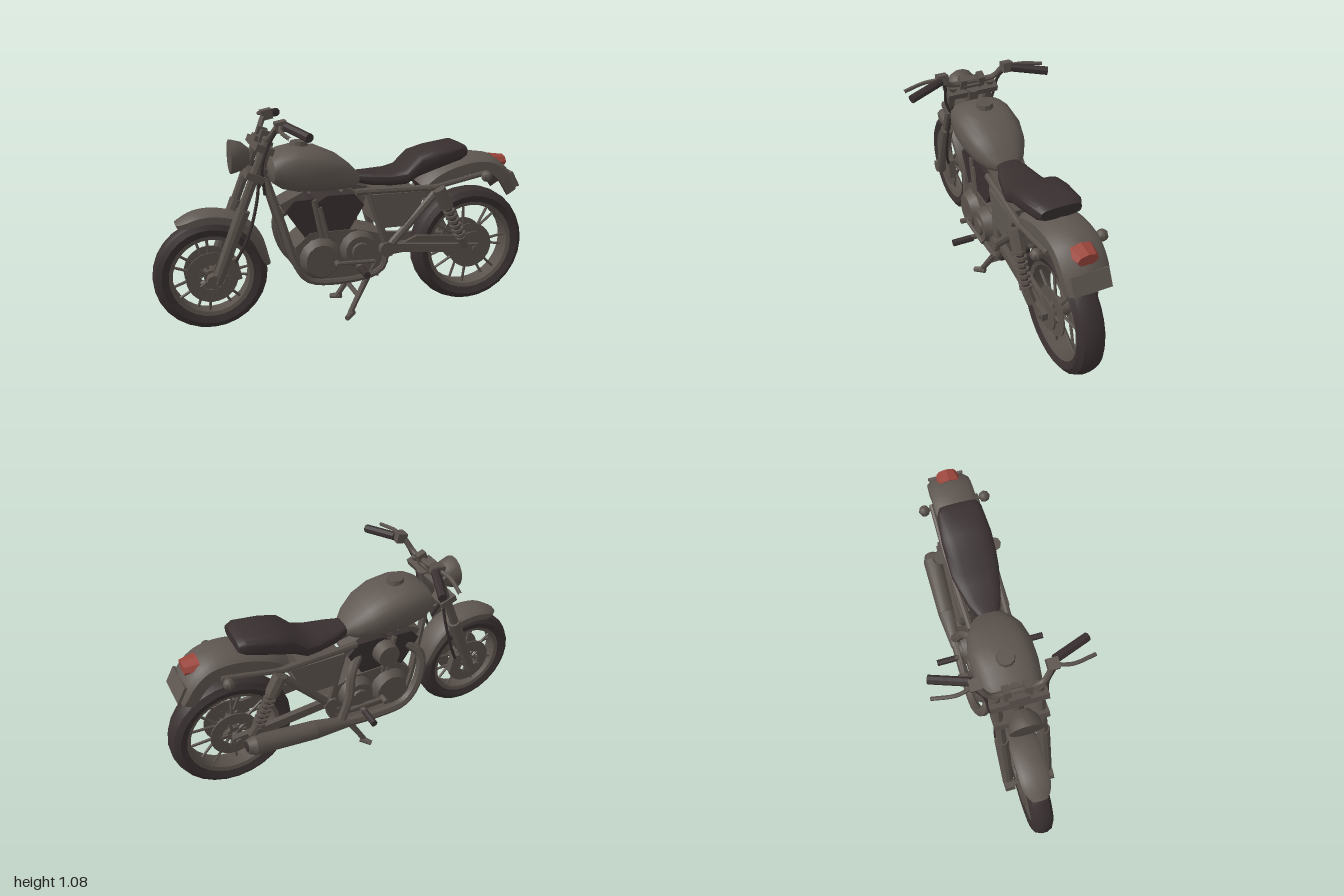
import * as THREE from 'three';
import { toCreasedNormals } from 'three/addons/utils/BufferGeometryUtils.js';

const V = (p) => new THREE.Vector3(...p);
const mat = (name, color, side = THREE.FrontSide) => {
  const m = new THREE.MeshStandardMaterial({ color, side });
  m.name = name;
  return m;
};

export function createModel() {
  const bike = new THREE.Group();
  bike.name = 'motorcycle';
  const paint = mat('grey paint', 0x5e5650, THREE.DoubleSide);
  const metal = mat('grey metal', 0x59514b);
  const dark = mat('dark rubber', 0x393030, THREE.DoubleSide);
  const red = mat('red lens', 0x9a453b);

  // Helpers
  const add = (name, geo, m, parent = bike) => {
    const mesh = new THREE.Mesh(toCreasedNormals(geo, 0.6), m);
    mesh.name = name;
    parent.add(mesh);
    return mesh;
  };
  const box = (name, m, size, pos, rz = 0) => {
    const b = add(name, new THREE.BoxGeometry(...size), m);
    b.position.set(...pos);
    b.rotation.z = rz;
    return b;
  };
  const rod = (name, m, a, b, r1, r2 = r1, sides = 8, parent = bike) => {
    const d = V(b).sub(V(a));
    const c = add(name, new THREE.CylinderGeometry(r2, r1, d.length(), sides), m, parent);
    c.position.copy(V(a)).addScaledVector(d, 0.5);
    c.quaternion.setFromUnitVectors(new THREE.Vector3(0, 1, 0), d.normalize());
    return c;
  };
  const tube = (name, m, pts, r, n = 16) =>
    add(name, new THREE.TubeGeometry(new THREE.CatmullRomCurve3(pts.map(V), false, 'centripetal'), n, r, 7), m);
  const plate = (name, m, pts, depth, z = 0) => {
    const shape = new THREE.Shape(pts.map((p) => new THREE.Vector2(...p)));
    const geo = new THREE.ExtrudeGeometry(shape, { depth, bevelEnabled: false });
    return add(name, geo.translate(0, 0, z - depth / 2), m);
  };
  const grid = (name, m, rows) => {
    const w = rows[0].length, index = [];
    for (let i = 0; i < rows.length - 1; i++)
      for (let j = 0; j < w - 1; j++) {
        const a = i * w + j, b = a + 1, c = a + w, d = c + 1;
        index.push(a, b, c, b, d, c);
      }
    const geo = new THREE.BufferGeometry();
    geo.setAttribute('position', new THREE.Float32BufferAttribute(rows.flat(2), 3));
    geo.setIndex(index);
    return add(name, geo, m);
  };
  // Body lofted along x from [x, bottom, top, halfWidth]; small power = squarer
  const loft = (name, m, secs, power) => {
    const p = (t) => Math.sign(t) * Math.abs(t) ** power;
    const ring = ([x, lo, hi, w], k) => Array.from({ length: 21 }, (_, j) => {
      const t = (j % 20) / 20 * Math.PI * 2;
      return [x, (lo + hi) / 2 + k * p(Math.cos(t)) * (hi - lo) / 2, k * p(Math.sin(t)) * w];
    });
    return grid(name, m, [ring(secs[0], 0), ...secs.map((s) => ring(s, 1)), ring(secs.at(-1), 0)]);
  };
  // Curved guard swept along a side profile, narrowed at its ends by taper
  const fender = (name, m, pts, w, drop, lift, taper) => {
    const curve = new THREE.CatmullRomCurve3(pts.map(([x, y]) => V([x, y, 0])));
    const section = [[-1, -1], [-1, -0.35], [-0.75, -0.1], [0, 0.05], [0.75, -0.1], [1, -0.35], [1, -1]];
    return grid(name, m, Array.from({ length: 21 }, (_, i) => {
      const q = curve.getPoint(i / 20), t = curve.getTangent(i / 20);
      const k = 1 - taper * (1 - Math.sin(i / 20 * Math.PI)) ** 4;
      return section.map(([z, d]) => {
        const h = d * drop * k + lift;
        return [q.x - t.y * h, q.y + t.x * h, z * w * k];
      });
    }));
  };
  const both = (fn) => [1, -1].forEach(fn);

  // Wheels: tyre, rim, hub, paired spokes and discs
  const wheel = (name, x, y, R, w, disc) => {
    const g = new THREE.Group();
    g.name = name;
    g.position.set(x, y, 0);
    bike.add(g);
    const lathe = (part, m, pts) => {
      const prof = [...pts, pts[0]].map((p) => new THREE.Vector2(...p));
      add(part, new THREE.LatheGeometry(prof, 28).rotateX(Math.PI / 2), m, g);
    };
    const q = R - 0.075;
    lathe('tyre', dark, [[q, -w * 0.8], [R - 0.04, -w], [R - 0.012, -w * 0.72], [R, -w * 0.25],
      [R, w * 0.25], [R - 0.012, w * 0.72], [R - 0.04, w], [q, w * 0.8]]);
    lathe('rim', metal, [[q - 0.02, -w * 0.7], [q + 0.008, -w * 0.84], [q + 0.008, w * 0.84], [q - 0.02, w * 0.7]]);
    rod('hub', metal, [0, 0, -0.06], [0, 0, 0.06], 0.04, 0.04, 14, g);
    rod('axle', metal, [0, 0, -0.13], [0, 0, 0.13], 0.017, 0.017, 8, g);
    for (let i = 0; i < 14; i++) {
      const a = Math.floor(i / 2) / 7 * Math.PI * 2, s = i % 2 ? 1 : -1;
      const at = (r, t, z) => [r * Math.cos(t), r * Math.sin(t), z];
      rod('spoke', metal, at(0.035, a + s * 0.2, s * 0.03), at(q - 0.01, a + s * 0.15, s * 0.012), 0.009, 0.007, 5, g);
    }
    both((s) => {
      const z0 = s * 0.055 - 0.004, z1 = s * 0.055 + 0.004;
      lathe('brake disc', metal, [[0.065, z0], [disc, z0], [disc, z1], [0.065, z1]]);
      for (let i = 0; i < 5; i++) {
        const a = i / 5 * Math.PI * 2;
        rod('disc carrier', metal, [0, 0, s * 0.055],
          [0.075 * Math.cos(a), 0.075 * Math.sin(a), s * 0.055], 0.009, 0.009, 5, g);
      }
    });
  };
  wheel('front wheel', -0.715, 0.29, 0.287, 0.057, 0.13);
  wheel('rear wheel', 0.683, 0.323, 0.32, 0.071, 0.125);

  // Fuel tank, seat and mudguards
  loft('fuel tank', paint, [[-0.415, 0.79, 0.85, 0.1], [-0.4, 0.75, 0.885, 0.135], [-0.35, 0.715, 0.915, 0.152],
    [-0.27, 0.695, 0.93, 0.162], [-0.16, 0.69, 0.915, 0.162], [-0.06, 0.69, 0.87, 0.142],
    [0.01, 0.695, 0.815, 0.105], [0.05, 0.71, 0.77, 0.065]], 0.78);
  rod('fuel cap', metal, [-0.25, 0.91, 0], [-0.25, 0.945, 0], 0.05, 0.042, 10);
  loft('seat', dark, [[0.04, 0.715, 0.77, 0.05], [0.12, 0.7, 0.768, 0.085], [0.22, 0.695, 0.77, 0.108],
    [0.29, 0.7, 0.785, 0.124], [0.36, 0.735, 0.855, 0.128], [0.45, 0.765, 0.878, 0.13],
    [0.59, 0.805, 0.9, 0.117], [0.625, 0.825, 0.885, 0.1]], 0.6);
  const rear = [[0.37, 0.7], [0.45, 0.765], [0.58, 0.815], [0.7, 0.83], [0.8, 0.81], [0.88, 0.745], [0.94, 0.645]];
  fender('rear mudguard', paint, rear, 0.112, 0.09, 0, 0.1);
  fender('rear mudguard lining', dark, rear, 0.106, 0.085, -0.008, 0.1);
  fender('front mudguard', paint, [[-0.88, 0.575], [-0.79, 0.617], [-0.69, 0.625], [-0.56, 0.59],
    [-0.46, 0.485], [-0.41, 0.325]], 0.075, 0.055, 0, 0.5);
  box('number plate', paint, [0.014, 0.09, 0.185], [0.915, 0.685, 0], 0.5);
  const lamp = add('tail light', new THREE.CylinderGeometry(0.052, 0.07, 0.075, 8).rotateZ(-Math.PI / 2), red);
  lamp.scale.set(1, 0.58, 1);
  lamp.position.set(0.84, 0.777, 0);
  box('tail light base', metal, [0.05, 0.06, 0.09], [0.8, 0.772, 0]);

  // Headlight, steering clamps and instruments
  add('headlight shell', new THREE.LatheGeometry([[0, -0.1], [0.04, -0.095], [0.07, -0.06], [0.084, -0.01], [0.084, 0], [0, 0.004]]
    .map((p) => new THREE.Vector2(...p)), 14).rotateZ(Math.PI / 2), metal).position.set(-0.598, 0.885, 0);
  box('lower fork clamp', metal, [0.09, 0.035, 0.27], [-0.495, 0.8, 0], -0.38);
  box('upper fork clamp', metal, [0.09, 0.035, 0.28], [-0.445, 0.935, 0], -0.38);
  rod('steering head', metal, [-0.47, 0.74, 0], [-0.41, 0.95, 0], 0.035);
  box('instrument mount', metal, [0.07, 0.03, 0.1], [-0.445, 0.965, 0], -0.35);
  tube('handlebar', metal, [[-0.36, 1.055, -0.2], [-0.385, 1.055, -0.175], [-0.425, 0.985, -0.12],
    [-0.43, 0.98, 0], [-0.425, 0.985, 0.12], [-0.385, 1.055, 0.175], [-0.36, 1.055, 0.2]], 0.015, 30);

  both((s) => {
    // Front fork and controls
    const z = (v) => s * v;
    rod('fork tube', metal, [-0.6, 0.54, z(0.105)], [-0.43, 0.97, z(0.105)], 0.024);
    rod('fork slider', metal, [-0.7, 0.275, z(0.105)], [-0.555, 0.64, z(0.105)], 0.028, 0.035, 10);
    rod('axle clamp', metal, [-0.715, 0.29, z(0.08)], [-0.715, 0.29, z(0.13)], 0.035);
    box('front brake caliper', metal, [0.06, 0.11, 0.04], [-0.61, 0.33, z(0.075)], 0.2);
    box('handlebar riser', metal, [0.05, 0.06, 0.035], [-0.43, 0.985, z(0.05)], -0.35);
    rod('hand grip', dark, [-0.355, 1.055, z(0.195)], [-0.285, 1.03, z(0.375)], 0.022);
    box('switch housing', metal, [0.055, 0.05, 0.055], [-0.375, 1.055, z(0.18)], 0.2);
    tube('hand lever', metal, [[-0.38, 1.055, z(0.19)], [-0.395, 1.045, z(0.27)], [-0.375, 1.03, z(0.385)]], 0.01);
    tube('control cable', dark, [[-0.39, 1.045, z(0.19)], [-0.42, 0.98, z(0.15)], [-0.46, 0.86, z(0.135)],
      [-0.44, 0.7, z(0.07)]], 0.008);
    tube('brake hose', dark, [[-0.47, 0.83, z(0.1)], [-0.49, 0.68, z(0.12)], [-0.54, 0.5, z(0.12)], [-0.6, 0.37, z(0.09)]], 0.008);

    // Frame
    tube('cradle tube', metal, [[-0.43, 0.78, z(0.03)], [-0.36, 0.55, z(0.07)], [-0.285, 0.31, z(0.1)],
      [-0.22, 0.235, z(0.1)], [0.1, 0.235, z(0.1)], [0.17, 0.28, z(0.1)], [0.18, 0.375, z(0.1)]], 0.02, 30);
    rod('frame rail', metal, [0.02, 0.685, z(0.1)], [0.45, 0.68, z(0.115)], 0.018);
    rod('front frame stay', metal, [0.09, 0.68, z(0.1)], [0.19, 0.36, z(0.115)], 0.02);
    rod('rear frame stay', metal, [0.46, 0.67, z(0.12)], [0.19, 0.38, z(0.12)], 0.022);
    rod('mudguard rail', metal, [0.4, 0.675, z(0.118)], [0.73, 0.74, z(0.118)], 0.014);
    plate('side cover', paint, [[0.1, 0.67], [0.39, 0.67], [0.36, 0.6], [0.27, 0.49], [0.15, 0.49]], 0.025, z(0.115));

    // Swingarm and shock absorber
    rod('swingarm pivot', metal, [0.18, 0.375, z(0.09)], [0.18, 0.375, z(0.145)], 0.04, 0.04, 10);
    box('swingarm', metal, [0.54, 0.045, 0.03], [0.44, 0.35, z(0.105)], -0.1);
    rod('shock body', dark, [0.47, 0.645, z(0.145)], [0.6, 0.385, z(0.145)], 0.019);
    rod('shock shroud', metal, [0.45, 0.68, z(0.145)], [0.5, 0.585, z(0.145)], 0.036);
    rod('shock foot', metal, [0.585, 0.41, z(0.145)], [0.615, 0.35, z(0.13)], 0.026);
    for (let i = 0; i < 7; i++) {
      const t = i / 7;
      rod('shock coil', metal, [0.5 + t * 0.09, 0.585 - t * 0.18, z(0.145)],
        [0.505 + t * 0.09, 0.571 - t * 0.18, z(0.145)], 0.033);
    }

    // Turn signals, foot pegs and stand
    rod('signal stalk', metal, [0.71, 0.735, z(0.1)], [0.71, 0.735, z(0.15)], 0.01);
    const signal = add('turn signal', new THREE.SphereGeometry(0.03, 8, 6), metal);
    signal.position.set(0.71, 0.733, z(0.163));
    rod('foot peg', dark, [0.018, 0.31, z(0.19)], [0.018, 0.31, z(0.3)], 0.018);
    rod('peg bracket', metal, [0.018, 0.31, z(0.1)], [0.018, 0.315, z(0.2)], 0.014);
    rod('foot pedal', metal, [0.1, 0.33, z(0.165)], [-0.11, 0.34, z(0.175)], 0.011);
    rod('pedal tip', metal, [-0.1, 0.34, z(0.16)], [-0.1, 0.34, z(0.21)], 0.014);
    rod('stand leg', metal, [0.1, 0.24, z(0.085)], [-0.02, 0.035, z(0.125)], 0.018, 0.014);
    rod('stand foot', metal, [-0.045, 0.025, z(0.16)], [0, 0.04, z(0.115)], 0.014, 0.018);
    rod('stand brace', metal, [0.13, 0.31, z(0.1)], [0.05, 0.16, z(0.1)], 0.012);

    // Engine covers
    rod('clutch cover', metal, [0.03, 0.385, z(0.09)], [0.03, 0.385, z(0.155)], 0.105, 0.08, 14);
    rod('generator cover', metal, [-0.17, 0.35, z(0.09)], [-0.17, 0.35, z(0.15)], 0.12, 0.085, 14);
    rod('clutch cap', metal, [0.03, 0.385, z(0.15)], [0.03, 0.385, z(0.168)], 0.05, 0.045, 12);
  });
  rod('stand crossbar', metal, [0.03, 0.125, -0.1], [0.03, 0.125, 0.1], 0.013);

  // Crankcase and V-twin cylinders
  plate('crankcase', metal, [[-0.3, 0.42], [-0.27, 0.3], [-0.2, 0.235], [0.1, 0.235], [0.2, 0.32],
    [0.17, 0.45], [0.02, 0.49], [-0.22, 0.49]], 0.21);
  box('sump', dark, [0.36, 0.03, 0.17], [-0.03, 0.23, 0]);
  plate('front cylinder', dark, [[-0.345, 0.61], [-0.25, 0.47], [-0.13, 0.46], [-0.125, 0.53], [-0.2, 0.665], [-0.3, 0.66]], 0.2);
  plate('rear cylinder', dark, [[-0.18, 0.645], [-0.145, 0.46], [-0.035, 0.455], [0.065, 0.615], [0.01, 0.675], [-0.13, 0.675]], 0.195);
  box('front rocker cover', metal, [0.13, 0.035, 0.15], [-0.3, 0.655, 0], 0.45);
  box('rear rocker cover', metal, [0.13, 0.035, 0.15], [0.015, 0.665, 0], -0.5);
  both((s) => {
    rod('front pushrod tube', metal, [-0.16, 0.46, s * 0.1], [-0.2, 0.66, s * 0.1], 0.014);
    rod('rear pushrod tube', metal, [-0.13, 0.46, s * 0.1], [-0.17, 0.62, s * 0.1], 0.012);
  });
  rod('air cleaner', metal, [-0.14, 0.59, -0.08], [-0.14, 0.59, -0.16], 0.07, 0.06, 12);
  box('battery box', metal, [0.22, 0.17, 0.2], [0.23, 0.6, 0]);
  rod('backbone tube', metal, [-0.44, 0.82, 0], [0.1, 0.69, 0], 0.03);
  plate('chain guard', metal, [[0.28, 0.385], [0.36, 0.42], [0.62, 0.395], [0.68, 0.35]], 0.02, 0.085);
  rod('sprocket', metal, [0.683, 0.323, 0.078], [0.683, 0.323, 0.088], 0.085, 0.085, 18);

  // Exhaust on one side
  tube('front exhaust pipe', metal, [[-0.28, 0.58, -0.08], [-0.345, 0.52, -0.12], [-0.325, 0.38, -0.15],
    [-0.24, 0.265, -0.165], [-0.05, 0.245, -0.17], [0.16, 0.262, -0.17]], 0.026, 24);
  tube('rear exhaust pipe', metal, [[0, 0.59, -0.08], [0.06, 0.54, -0.13], [0.09, 0.42, -0.16], [0.14, 0.29, -0.17]], 0.024);
  rod('muffler cone', metal, [0.1, 0.256, -0.17], [0.3, 0.28, -0.172], 0.03, 0.05, 12);
  rod('muffler', metal, [0.3, 0.28, -0.172], [0.62, 0.314, -0.172], 0.05, 0.052, 12);
  rod('muffler tip', metal, [0.62, 0.314, -0.172], [0.66, 0.318, -0.172], 0.052, 0.036, 12);
  rod('muffler outlet', dark, [0.655, 0.3178, -0.172], [0.664, 0.3184, -0.172], 0.028, 0.028, 12);
  return bike;
}
